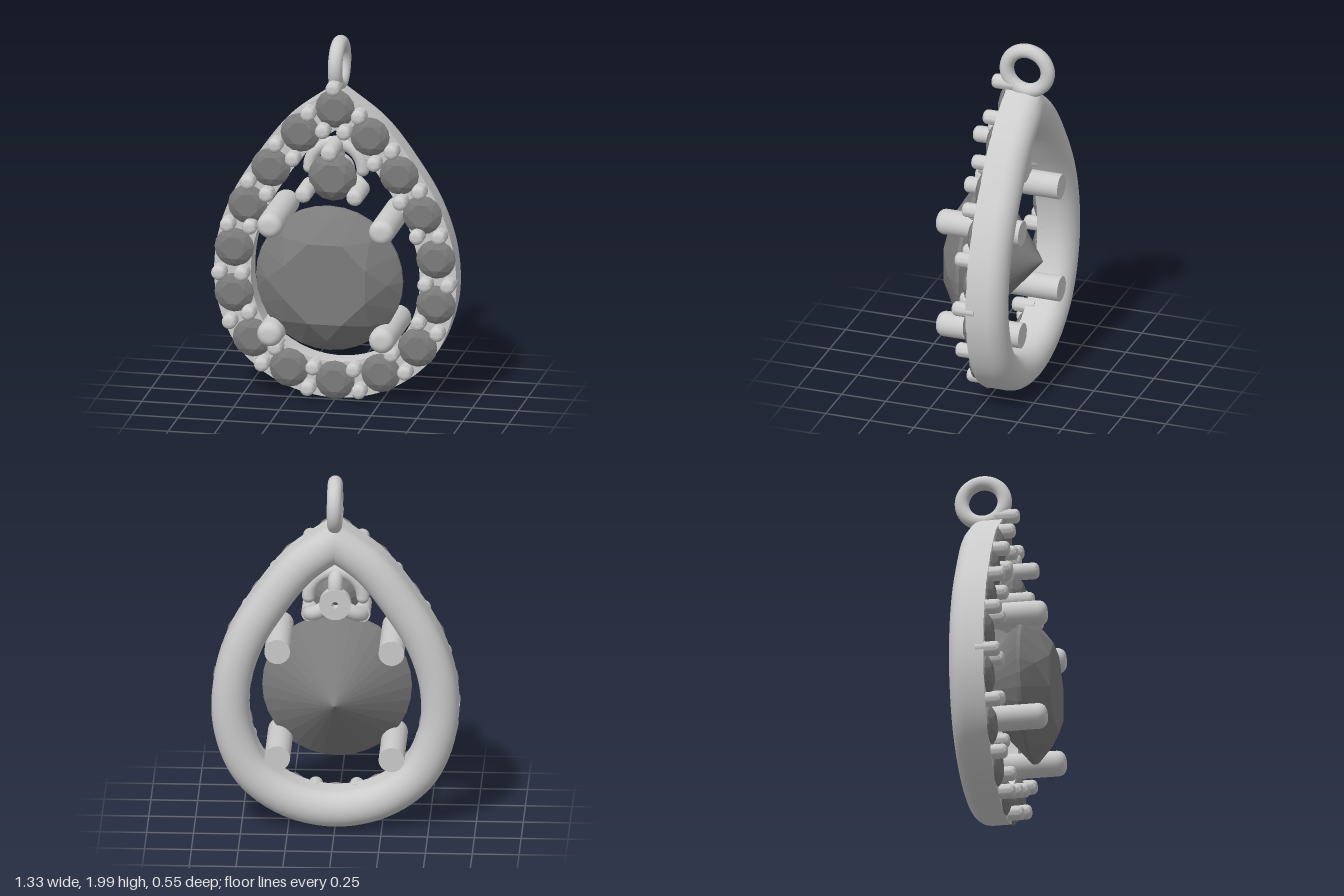
import * as THREE from 'three';
import { toCreasedNormals } from 'three/addons/utils/BufferGeometryUtils.js';
import { ConvexGeometry } from 'three/addons/geometries/ConvexGeometry.js';

const metal = new THREE.MeshStandardMaterial({ color: 0xcccccc });
const stone = new THREE.MeshStandardMaterial({ color: 0x7c7c7c });

function add(parent, name, geometry, material, x = 0, y = 0, z = 0) {
  const mesh = new THREE.Mesh(geometry, material);
  mesh.name = name;
  mesh.position.set(x, y, z);
  parent.add(mesh);
  return mesh;
}

// Brilliant-cut stone: table towards +z, girdle at z = 0, point towards -z
function gemGeometry(r, crown, pavilion, sides) {
  const pts = [];
  const ring = (n, radius, z, turn = 0) => {
    for (let i = 0; i < n; i++) {
      const a = ((i + turn) / n) * Math.PI * 2;
      pts.push(new THREE.Vector3(Math.cos(a) * radius, Math.sin(a) * radius, z));
    }
  };
  ring(8, r * 0.6, crown, 0.5);
  ring(8, r * 0.83, crown * 0.56);
  ring(sides, r, r * 0.025);
  ring(sides, r, -r * 0.025);
  pts.push(new THREE.Vector3(0, 0, -pavilion));
  return new ConvexGeometry(pts);
}

// Round pin along z with a softened tip
function prongGeometry(r, length) {
  const k = r * 0.65;
  const profile = [new THREE.Vector2(0, 0), new THREE.Vector2(r, 0)];
  for (let i = 0; i <= 6; i++) {
    const a = (i / 6) * Math.PI / 2;
    profile.push(new THREE.Vector2(r - k + k * Math.cos(a), length - k + k * Math.sin(a)));
  }
  profile.push(new THREE.Vector2(0, length));
  const geo = new THREE.LatheGeometry(profile, 24).rotateX(Math.PI / 2);
  return toCreasedNormals(geo, 0.7);
}

// Teardrop rail: flat front, rounded back, mitred at the tip
function frameGeometry(half) {
  const path = new THREE.CatmullRomCurve3(
    [...half, ...half.slice(0, -1).reverse().map(([x, y]) => [-x, y])]
      .map(([x, y]) => new THREE.Vector3(x, y, 0)), false, 'centripetal');
  const section = [[0.1, -0.01]];
  for (let i = 0; i <= 14; i++) {
    const a = (i / 14) * Math.PI;
    section.push([0.1 * Math.cos(a), -0.12 - 0.092 * Math.sin(a)]);
  }
  section.push([-0.1, -0.01]);
  const steps = 120, m = section.length, pos = [], index = [];
  for (let i = 0; i <= steps; i++) {
    const p = path.getPointAt(i / steps), t = path.getTangentAt(i / steps);
    const tip = i === 0 || i === steps;
    const nx = tip ? 0 : -t.y, ny = tip ? 1.2 : t.x;
    for (const [u, z] of section) pos.push(p.x + nx * u, p.y + ny * u, z);
    if (i === steps) break;
    for (let j = 0; j < m; j++) {
      const a = i * m + j, b = i * m + (j + 1) % m;
      index.push(a, a + m, b, b, a + m, b + m);
    }
  }
  const geo = new THREE.BufferGeometry();
  geo.setAttribute('position', new THREE.Float32BufferAttribute(pos, 3));
  geo.setIndex(index);
  return toCreasedNormals(geo, 0.65);
}

export function createModel() {
  const model = new THREE.Group();
  model.name = 'pendant';

  // Halo stone centres on the +x side, tip to bottom
  const half = [[0, 1.63], [0.19, 1.485], [0.35, 1.28], [0.476, 1.066], [0.55, 0.823],
    [0.55, 0.57], [0.45, 0.325], [0.25, 0.17], [0, 0.115]];
  add(model, 'frame', frameGeometry(half), metal);

  // Hanging loop
  const loop = new THREE.TorusGeometry(0.116, 0.039, 20, 48).rotateY(Math.PI / 2);
  add(model, 'hangingLoop', loop, metal, 0, 1.845, -0.122);

  // Halo stones
  const halo = new THREE.Group();
  halo.name = 'halo';
  model.add(halo);
  const haloGem = gemGeometry(0.107, 0.028, 0.08, 16);
  for (const [x, y] of half) {
    for (const s of x ? [1, -1] : [1]) add(halo, 'haloStone', haloGem, stone, s * x, y, -0.005);
  }

  // Small prongs in pairs between the halo stones
  const pins = [[0, 1.755], [0.138, 1.605], [0.058, 1.513], [0.317, 1.42], [0.222, 1.347],
    [0.466, 1.204], [0.365, 1.14], [0.577, 0.96], [0.455, 0.955], [0.624, 0.69], [0.5, 0.69],
    [0.566, 0.42], [0.463, 0.473], [0.39, 0.193], [0.317, 0.288], [0.14, 0.073], [0.11, 0.19]];
  const pin = prongGeometry(0.04, 0.13);
  for (const [x, y] of pins) {
    for (const s of x ? [1, -1] : [1]) add(halo, 'haloProng', pin, metal, s * x, y, -0.055);
  }

  // Large centre stone with four prongs
  add(model, 'centreStone', gemGeometry(0.4, 0.142, 0.345, 32), stone, 0, 0.727, 0.132);
  const bigProng = prongGeometry(0.069, 0.48);
  for (const x of [-0.305, 0.305]) {
    for (const y of [0.425, 1.03]) add(model, 'centreProng', bigProng, metal, x, y, -0.205);
  }

  // Upper stone in a three-armed basket
  const upper = new THREE.Group();
  upper.name = 'upperSetting';
  upper.position.y = 1.268;
  model.add(upper);
  add(upper, 'upperStone', gemGeometry(0.133, 0.045, 0.13, 16), stone, 0, 0, 0.055);
  const hub = new THREE.Shape().absarc(0, 0, 0.085, 0, Math.PI * 2);
  hub.holes.push(new THREE.Path().absarc(0, 0, 0.018, 0, Math.PI * 2, true));
  const hubGeo = new THREE.ExtrudeGeometry(hub, { depth: 0.05, bevelEnabled: false, curveSegments: 24 });
  add(upper, 'basketHub', toCreasedNormals(hubGeo, 0.6), metal, 0, 0, -0.115);
  const upperProng = prongGeometry(0.045, 0.21);
  for (const [x, y] of [[0, 0.157], [0.14, -0.08], [-0.14, -0.08]]) {
    add(upper, 'upperProng', upperProng, metal, x, y, -0.03);
    const arm = new THREE.QuadraticBezierCurve3(
      new THREE.Vector3(x * 0.3, y * 0.3, -0.075),
      new THREE.Vector3(x, y, -0.085),
      new THREE.Vector3(x, y, 0));
    add(upper, 'basketArm', new THREE.TubeGeometry(arm, 16, 0.04, 16), metal);
  }

  // Arc that joins the basket to the frame
  const arc = new THREE.TorusGeometry(0.145, 0.035, 14, 32, Math.PI);
  add(upper, 'basketArc', arc, metal, 0, 0.02, -0.035);
  for (const s of [-1, 1]) {
    add(upper, 'arcEnd', new THREE.SphereGeometry(0.035, 16, 12), metal, s * 0.145, 0.02, -0.035);
  }
  return model;
}
